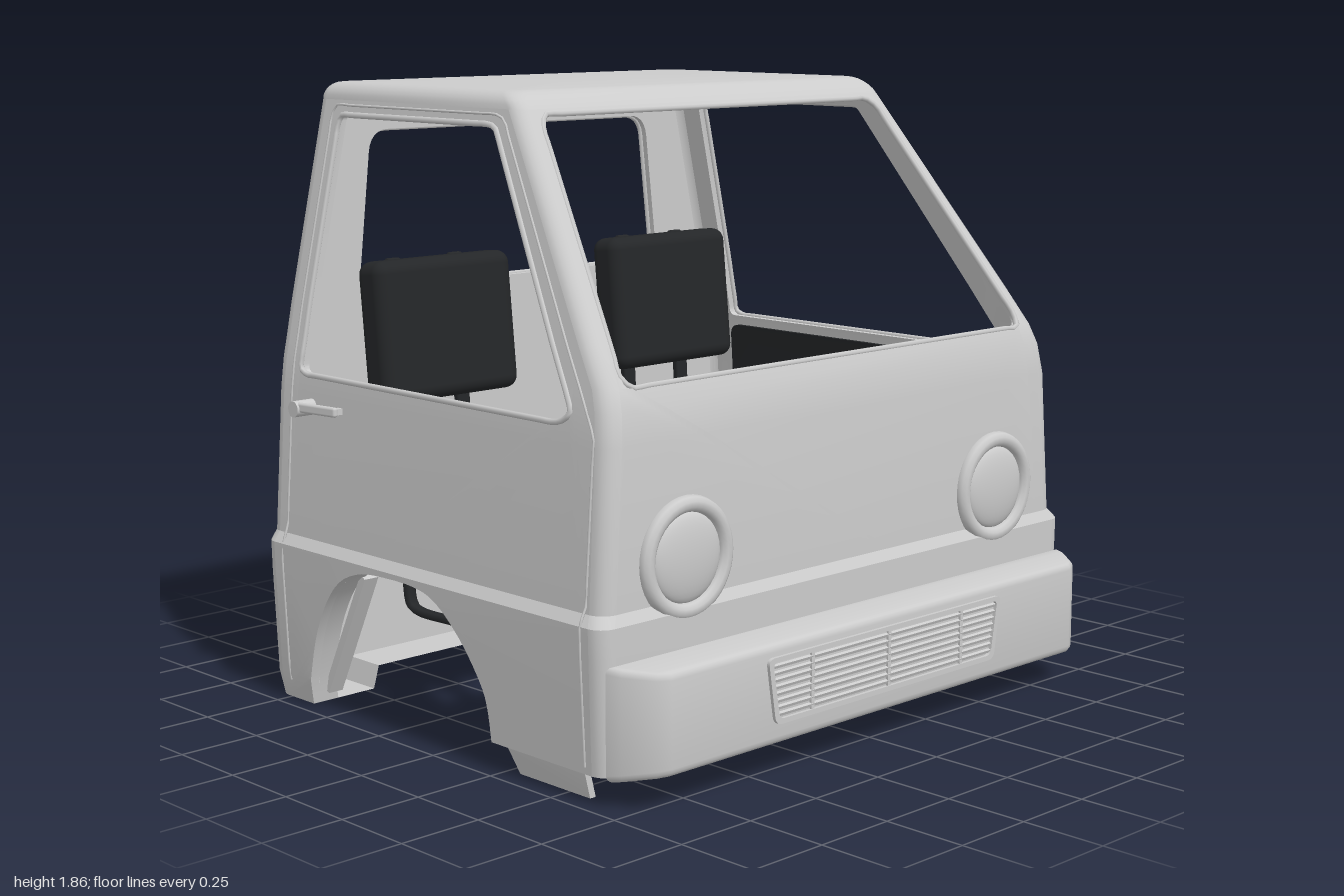
import * as THREE from 'three';
import { toCreasedNormals } from 'three/addons/utils/BufferGeometryUtils.js';
import { RoundedBoxGeometry } from 'three/addons/geometries/RoundedBoxGeometry.js';

const V = (x, y, z) => new THREE.Vector3(x, y, z);
const P = (x, y) => new THREE.Vector2(x, y);

// Body sections: height, half width, front z
const SECTIONS = [[0, .945, .67], [.08, .965, .675], [.4, .98, .682], [.485, .982, .682], [.515, .96, .664],
  [.95, .93, .657], [1.04, .918, .644], [1.1, .905, .62], [1.2, .885, .549], [1.8, .75, .116]];
const BACK = -.82, R = .05, T = .03, EAVES = 1.8;
// Wheel arch outline from rear to front: z, y
const ARCH = new THREE.SplineCurve([[-.64, 0], [-.62, .1], [-.58, .23], [-.52, .34], [-.45, .415], [-.36, .455], [-.26, .467],
  [-.1, .465], [0, .435], [.1, .35], [.18, .24], [.205, .17], [.215, .08]].map(p => P(...p))).getPoints(39);

function section(y, k) {
  let i = 1;
  while (i < SECTIONS.length - 1 && y > SECTIONS[i][0]) i++;
  const a = SECTIONS[i - 1], b = SECTIONS[i];
  return a[k] + (b[k] - a[k]) * (y - a[0]) / (b[0] - a[0]);
}
const halfWidth = y => section(y, 1), frontZ = y => section(y, 2);

// Closed polygon with rounded corners
function rounded(points, r, Type = THREE.Path) {
  const path = new Type(), pts = points.map(p => P(...p));
  pts.forEach((p, i) => {
    const toward = q => p.clone().add(q.clone().sub(p).setLength(r));
    const a = toward(pts[(i + pts.length - 1) % pts.length]), b = toward(pts[(i + 1) % pts.length]);
    if (i) path.lineTo(a.x, a.y); else path.moveTo(a.x, a.y);
    path.quadraticCurveTo(p.x, p.y, b.x, b.y);
  });
  path.closePath();
  return path;
}

// Cuts triangles along a horizontal plane
function slice(tris, c) {
  const out = [], E = 1e-5;
  for (const t of tris) for (const s of [1, -1]) {
    const d = t.map(v => s * (v.y - c)), poly = [];
    if (!(d.some(k => k > E) || (s > 0 && d.every(k => Math.abs(k) <= E)))) continue;
    t.forEach((a, i) => {
      const j = (i + 1) % 3;
      if (d[i] > -E) poly.push(a);
      if (d[i] * d[j] < 0 && Math.abs(d[i]) > E && Math.abs(d[j]) > E) poly.push(a.clone().lerp(t[j], d[i] / (d[i] - d[j])));
    });
    for (let i = 2; i < poly.length; i++) out.push([poly[0], poly[i - 1], poly[i]]);
  }
  return out;
}

// Thick panel from a flat shape, bent onto the body by a rule
function panel(shape, depth, map) {
  const p = new THREE.ExtrudeGeometry(shape, { depth, bevelEnabled: false, curveSegments: 6 }).toNonIndexed().attributes.position;
  let tris = [];
  for (let i = 0; i < p.count; i += 3) tris.push([0, 1, 2].map(k => new THREE.Vector3().fromBufferAttribute(p, i + k)));
  for (const s of SECTIONS) tris = slice(tris, s[0]);
  const g = new THREE.BufferGeometry().setFromPoints(tris.flat().map(v => map(v.x, v.y, v.z)));
  return toCreasedNormals(g, .38);
}

// Surface through rows of points
function loft(rows, crease = .38) {
  const pts = [];
  for (let i = 1; i < rows.length; i++) for (let j = 1; j < rows[i].length; j++) {
    const a = rows[i - 1][j - 1], b = rows[i - 1][j], c = rows[i][j], d = rows[i][j - 1];
    pts.push(a, b, c, a, c, d);
  }
  return toCreasedNormals(new THREE.BufferGeometry().setFromPoints(pts), crease);
}

const tube = (pts, r, closed = false, n = 60) =>
  new THREE.TubeGeometry(new THREE.CatmullRomCurve3(pts, closed, 'centripetal'), n, r, 6, closed);
const seal = (path, map, r) => tube(path.getSpacedPoints(90).slice(0, -1).map(p => map(p.x, p.y)), r, true, 180);

export function createModel() {
  const model = new THREE.Group();
  const grey = new THREE.MeshStandardMaterial({ color: 0xcccccc, side: THREE.DoubleSide });
  const dark = new THREE.MeshStandardMaterial({ color: 0x242628 });
  const darkSheet = new THREE.MeshStandardMaterial({ color: 0x242628, side: THREE.DoubleSide });
  const add = (name, geo, mat = grey, x = 0, y = 0, z = 0, parent = model) => {
    const m = new THREE.Mesh(geo, mat);
    m.name = name;
    m.position.set(x, y, z);
    parent.add(m);
    return m;
  };
  const box = (w, h, d) => new THREE.BoxGeometry(w, h, d);
  const upper = SECTIONS.slice(1);

  // Front panel with windscreen opening
  const right = upper.map(([y, w]) => P(w - R, y));
  const frontShape = new THREE.Shape([...right, ...right.map(p => P(-p.x, p.y)).reverse()]);
  const screen = rounded([[-.838, 1.098], [.838, 1.098], [.688, 1.785], [-.688, 1.785]], .03);
  frontShape.holes.push(screen);
  add('frontPanel', panel(frontShape, T, (x, y, d) => V(x, y, frontZ(y) - T + d)));
  add('windscreenSeal', seal(screen, (x, y) => V(x, y, frontZ(y) - .005), .009));

  // Rear panel with window and a notch in the lower edge
  const rearEdge = SECTIONS.map(([y, w]) => P(w - R, y));
  const lower = [[-.72, 0], [-.7, .07], [-.1, .07], [-.06, .16], [.06, .16], [.1, .07], [.7, .07], [.72, 0]];
  const rearShape = new THREE.Shape([...lower.map(p => P(...p)), ...rearEdge, ...rearEdge.map(p => P(-p.x, p.y)).reverse()]);
  const rearWindow = rounded([[-.63, 1.21], [.63, 1.21], [.575, 1.7], [-.575, 1.7]], .07);
  rearShape.holes.push(rearWindow);
  add('rearPanel', panel(rearShape, T, (x, y, d) => V(x, y, BACK + d)));
  add('rearWindowSeal', seal(rearWindow, (x, y) => V(x, y, BACK + .003), .008));

  // Underside behind the wheels, following the lower edge of the rear panel
  const underside = [[-.93, 0], ...lower, [.93, 0]];
  add('rearUnderside', loft(underside.map(([x, y]) => [V(x, y, BACK + .01), V(x, y, -.64)])));

  // Roof with rolled edges
  const ring = (w, f, b, y) => {
    const pts = [];
    [[1, 1], [1, -1], [-1, -1], [-1, 1]].forEach(([sx, sz], q) => {
      for (let i = 0; i <= 5; i++) {
        const a = Math.PI / 2 * (q + i / 5);
        pts.push(V(sx * (w - R) + R * Math.sin(a), y, (sz > 0 ? f - R : b + R) + R * Math.cos(a)));
      }
    });
    return [...pts, pts[0]];
  };
  const roof = [];
  for (let i = 0; i <= 6; i++) {
    const t = Math.PI / 2 * i / 6, s = Math.sin(t), c = 1 - Math.cos(t);
    roof.push(ring(.75 - .05 * c, .116 - .04 * s - .04 * c, BACK + .03 * c, EAVES + .05 * s));
  }
  roof.push(roof[6].map(p => V(p.x * .6, 1.858, (p.z + .38) * .6 - .38)), roof[6].map(() => V(0, 1.86, -.38)));
  add('roof', loft(roof, .8));
  add('headliner', box(1.38, .01, .77), dark, 0, 1.8, -.4);

  // Floor with two footwells and a raised centre tunnel, closed below
  const floor = [[.66, .16], [.57, .15], [.28, .09], [.2, .22], [.12, .33], [0, .45]].map(([z, y]) => {
    const w = halfWidth(y) - T, t = .22 + .06 * z / .57, top = .45 - .1 * z;
    return [V(-w, y, z), V(-t, y, z), V(-t, top, z), V(t, top, z), V(t, y, z), V(w, y, z)];
  });
  add('floor', loft(floor, .15));
  add('floorPan', box(1.86, .01, .38), grey, 0, .085, .47);

  // Bumper with rounded ends, its lower front edge raised
  const bumperEnd = [P(.945, -.69), P(.935, -.715), P(.88, -.785), P(.85, -.8)];
  const bumperShape = new THREE.Shape([...bumperEnd, ...bumperEnd.map(p => P(-p.x, p.y)).reverse()]);
  const bumper = new THREE.ExtrudeGeometry(bumperShape, { depth: .275, bevelThickness: .02, bevelSize: .015, bevelSegments: 3 });
  bumper.rotateX(-Math.PI / 2).translate(0, .093, 0);
  const bp = bumper.attributes.position;
  for (let i = 0; i < bp.count; i++) {
    const low = bp.getY(i) < .2, out = (bp.getZ(i) - .68) / .135;
    bp.setY(i, bp.getY(i) + out * (low ? .025 : -.01));
  }
  add('bumper', toCreasedNormals(bumper, .6));

  // Bumper grille
  const grille = new THREE.Group();
  grille.name = 'grille';
  model.add(grille);
  const grilleShape = rounded([[-.47, .155], [.47, .155], [.5, .345], [-.5, .345]], .025, THREE.Shape);
  grilleShape.holes.push(rounded([[-.455, .17], [.455, .17], [.482, .332], [-.482, .332]], .02));
  add('grilleFrame', new THREE.ExtrudeGeometry(grilleShape, { depth: .015, bevelEnabled: false }), grey, 0, 0, .81, grille);
  for (let i = 0; i < 8; i++)
    add('grilleSlat', box(.915 + i * .006, .009, .012), grey, 0, .183 + i * .0195, .816, grille).rotation.x = .4;
  for (const x of [-.32, 0, .32]) add('grilleBar', box(.012, .165, .01), grey, x, .251, .817, grille);

  for (const s of [1, -1]) {
    const side = s > 0 ? 'left' : 'right';
    const onSide = (z, y, d = T) => V(s * (halfWidth(y) - T + d), y, z);

    // Side panel with door window and wheel arch
    const shape = new THREE.Shape([...upper.map(([y, , f]) => P(f - R, y)), P(BACK + R, EAVES), P(BACK + R, 0), ...ARCH]);
    const win = rounded([[.46, 1], [.51, 1.03], [.02, 1.757], [-.695, 1.757], [-.695, 1]], .025);
    shape.holes.push(win);
    add(side + 'SidePanel', panel(shape, T, onSide));
    add(side + 'WindowSeal', seal(win, onSide, .009));

    // Raised seam round the door
    const seam = new THREE.Path([[.6, .1], [.6, .5], [.6, .98], [.55, 1.06], [.045, 1.785], [-.73, 1.785], [-.73, .06]].map(p => P(...p)));
    add(side + 'DoorSeam', tube(seam.getSpacedPoints(90).map(p => onSide(p.x, p.y)), .004, false, 150));

    // Rounded body corners
    const corner = (rows, zEdge, dir) => loft(rows.map(row => Array.from({ length: 7 }, (_, i) => {
      const a = Math.PI / 12 * i;
      return V(s * (row[1] - R + R * Math.sin(a)), row[0], zEdge(row) + dir * R * (Math.cos(a) - 1));
    })));
    add(side + 'FrontPillar', corner(upper, row => row[2], 1));
    add(side + 'RearPillar', corner(SECTIONS, () => BACK, -1));

    // Wheel arch return, the strut behind it and the thin skirt below the door
    add(side + 'WheelArchLip', loft(ARCH.map(p => [onSide(p.x, p.y, 0), onSide(p.x, p.y, -.06)])));
    add(side + 'ArchStrut', box(.05, .43, .025), grey, s * .875, .225, -.54).rotation.x = .46;
    const skirt = new THREE.Shape([P(.58, 0), P(.58, .1), P(.25, .1), P(.27, .06), P(.295, 0)]);
    add(side + 'Skirt', panel(skirt, .02, (z, y, d) => onSide(z, y, d - .005)));

    // Inner door trim, window crank and release lever
    const card = rounded([[.5, .5], [.48, .97], [-.68, .97], [-.68, .5]], .04, THREE.Shape);
    add(side + 'DoorTrim', panel(card, .015, (z, y, d) => onSide(z, y, d - .018)), darkSheet);
    add(side + 'WindowCrank', tube([V(s * .92, .8, -.11), V(s * .86, .8, -.11), V(s * .855, .79, -.06), V(s * .85, .76, .03)], .012, false, 16), dark);
    add(side + 'ReleaseLever', new RoundedBoxGeometry(.02, .03, .14, 2, .008), dark, s * .87, .72, .2);

    // Outer door handle
    const handle = new THREE.Group();
    handle.name = side + 'DoorHandle';
    model.add(handle);
    add('handleButton', new THREE.CylinderGeometry(.024, .024, .07, 20).rotateZ(Math.PI / 2), grey, s * .965, .908, -.63, handle);
    add('handleLever', new RoundedBoxGeometry(.018, .03, .17, 2, .008), grey, s * .976, .914, -.55, handle).rotation.y = -s * .14;
    add('handleMount', box(.04, .018, .022), grey, s * .95, .912, -.49, handle);

    // Headlight with its inner bucket
    const lamp = new THREE.Group();
    lamp.name = side + 'Headlight';
    lamp.position.set(s * .655, .627, .664);
    model.add(lamp);
    add('headlightRim', new THREE.TorusGeometry(.147, .024, 10, 40), grey, 0, 0, 0, lamp);
    add('headlightLens', new THREE.SphereGeometry(.126, 32, 16).scale(1, 1, .24), grey, 0, 0, 0, lamp);
    add('headlightBucket', new THREE.CylinderGeometry(.15, .115, .05, 32).rotateX(Math.PI / 2), grey, 0, 0, -.045, lamp);

    // Seat: cushion, back pad, posts and flat-bar legs
    const seat = new THREE.Group();
    seat.name = side + 'Seat';
    seat.position.x = s * .475;
    model.add(seat);
    add('seatCushion', new RoundedBoxGeometry(.61, .1, .57, 4, .045), dark, s * .01, .58, -.345, seat);
    add('seatBack', new RoundedBoxGeometry(.52, .43, .125, 4, .04), dark, 0, 1.107, -.595, seat).rotation.x = -.1;
    for (const x of [-.12, .12]) {
      add('seatPost', new RoundedBoxGeometry(.05, .74, .025, 2, .008), dark, x, .95, -.645, seat).rotation.x = -.06;
      const leg = [[.56, -.15], [.4, -.15], [.28, -.152], [.245, -.175], [.236, -.22], [.236, -.4], [.236, -.56],
        [.25, -.6], [.3, -.615], [.56, -.615]].map(([y, z]) => V(0, y, z));
      add('seatLeg', tube(leg, .013).scale(1.8, 1, 1), dark, x, 0, 0, seat);
      add('seatLegKnob', new THREE.SphereGeometry(.02, 10, 8), dark, x, .245, -.245, seat);
    }
  }
  return model;
}
